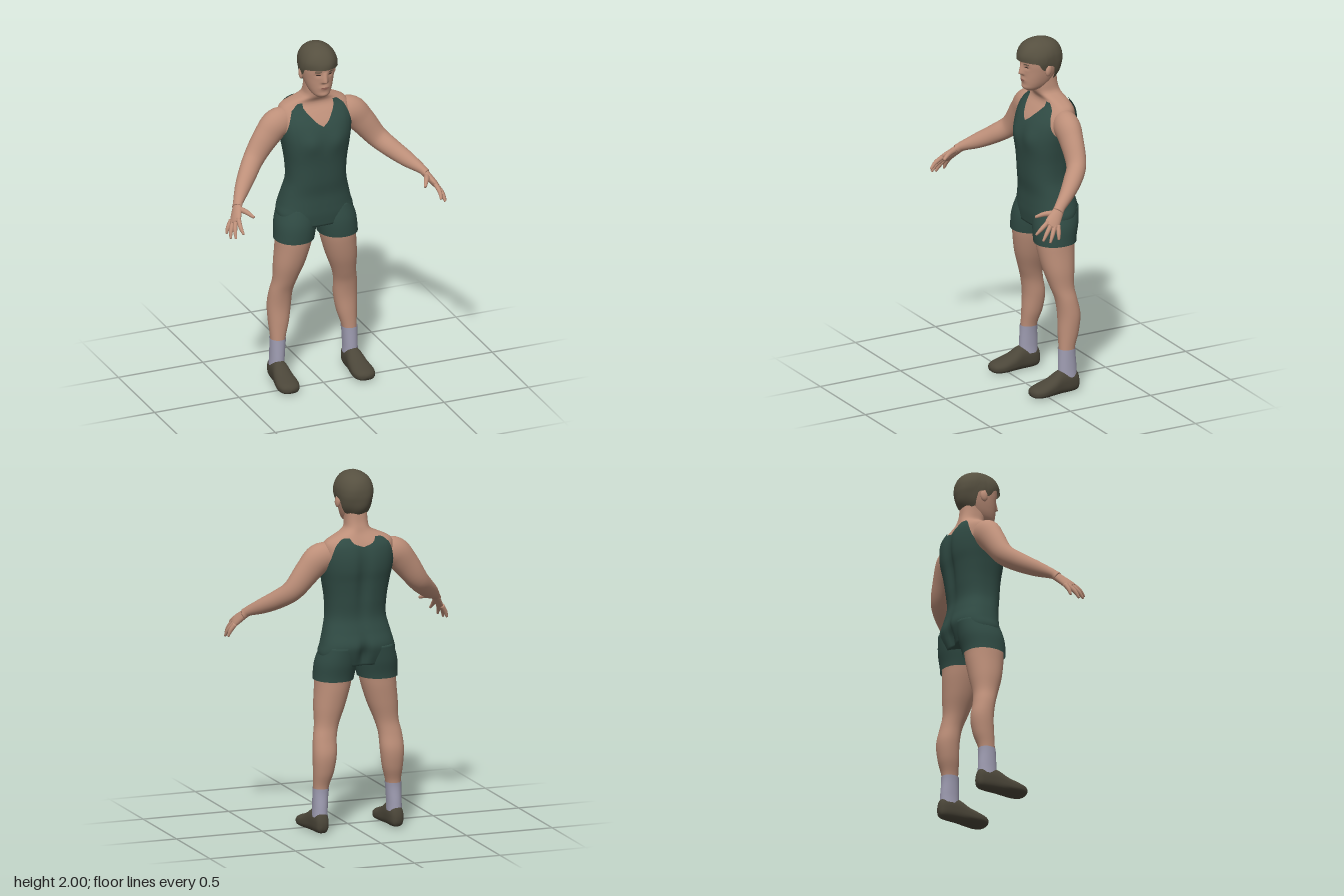
import * as THREE from 'three';

const paint = (name, color) => Object.assign(new THREE.MeshStandardMaterial({ color }), { name });
const V = (a) => new THREE.Vector3(...a);
const bump = (x, c, w) => Math.exp(-(((x - c) / w) ** 2));

// Smooth interpolation through rows [t, ...values]
function at(rows, t) {
  let i = 0;
  while (i < rows.length - 2 && t > rows[i + 1][0]) i++;
  const a = rows[i], b = rows[i + 1], h = b[0] - a[0];
  const s = Math.min(1, Math.max(0, (t - a[0]) / h));
  const p = rows[Math.max(0, i - 1)], n = rows[Math.min(rows.length - 1, i + 2)];
  return a.slice(1).map((v, k) => {
    k++;
    const m0 = ((b[k] - p[k]) / (b[0] - p[0])) * h, m1 = ((n[k] - a[k]) / (n[0] - a[0])) * h;
    return v * (1 + 2 * s) * (1 - s) ** 2 + m0 * s * (1 - s) ** 2 + b[k] * s * s * (3 - 2 * s) + m1 * s * s * (s - 1);
  });
}

// Straight-line interpolation through [x, y] pairs
function line(pts, x) {
  let i = 0;
  while (i < pts.length - 2 && x > pts[i + 1][0]) i++;
  const [a, b] = [pts[i], pts[i + 1]];
  return THREE.MathUtils.lerp(a[1], b[1], Math.min(1, Math.max(0, (x - a[0]) / (b[0] - a[0]))));
}

const pow = (c, p) => Math.sign(c) * Math.abs(c) ** p;
// Rounded cross-section from rows [t, a0, a1, b0, b1]
function section(rows, t, th, p, off = 0) {
  const [a0, a1, b0, b1] = at(rows, t);
  return [(a0 + a1) / 2 + ((a1 - a0) / 2 + off) * pow(Math.cos(th), p),
    (b0 + b1) / 2 + ((b1 - b0) / 2 + off) * pow(Math.sin(th), p)];
}

// Closed skin over fn(angle, v); side -1 mirrors it, flip reverses the faces
function skinMesh(name, mat, fn, nu, nv, { side = 1, flip = false, capStart = false, capEnd = false } = {}) {
  const pos = [], idx = [];
  for (let j = 0; j <= nv; j++) for (let i = 0; i < nu; i++) {
    const p = fn((i / nu) * Math.PI * 2, j / nv);
    pos.push(p[0] * side, p[1], p[2]);
  }
  const tri = (a, b, c) => ((side < 0) !== flip ? idx.push(a, c, b) : idx.push(a, b, c));
  for (let j = 0; j < nv; j++) for (let i = 0; i < nu; i++) {
    const a = j * nu + i, c = j * nu + ((i + 1) % nu);
    tri(a, a + nu, c);
    tri(c, a + nu, c + nu);
  }
  const cap = (j, end) => {
    const m = [0, 0, 0], n = pos.length / 3;
    for (let i = 0; i < nu * 3; i++) m[i % 3] += pos[j * nu * 3 + i] / nu;
    pos.push(...m);
    for (let i = 0; i < nu; i++) {
      const a = j * nu + i, c = j * nu + ((i + 1) % nu);
      end ? tri(a, n, c) : tri(a, c, n);
    }
  };
  if (capStart) cap(0, false);
  if (capEnd) cap(nv, true);
  const g = new THREE.BufferGeometry();
  g.setAttribute('position', new THREE.Float32BufferAttribute(pos, 3));
  g.setIndex(idx);
  g.computeVertexNormals();
  const mesh = new THREE.Mesh(g, mat);
  mesh.name = name;
  return mesh;
}

// Limb along points, radii [across, along ref] at each point
function limb(name, mat, pts, radii, side, ref, nu = 12, nv = 12) {
  const curve = new THREE.CatmullRomCurve3(pts.map(V));
  const rows = radii.map((r, i) => [i, ...r]);
  return skinMesh(name, mat, (th, v) => {
    const T = curve.getTangent(v);
    const B = V(ref).addScaledVector(T, -V(ref).dot(T)).normalize();
    const N = T.clone().cross(B);
    const [a, b] = at(rows, v * (radii.length - 1));
    return curve.getPoint(v).addScaledVector(N, a * Math.cos(th)).addScaledVector(B, b * Math.sin(th)).toArray();
  }, nu, nv, { side, capStart: true, capEnd: true });
}

// Symmetric rows [y, halfWidth, back z, front z]
const sym = (rows) => rows.map(([y, w, b, f]) => [y, -w, w, b, f]);
const TORSO = sym([[0.93, 0.19, -0.225, -0.015], [1.0, 0.208, -0.25, -0.008], [1.05, 0.196, -0.26, -0.008],
  [1.12, 0.178, -0.24, -0.008], [1.2, 0.16, -0.223, 0.003], [1.3, 0.163, -0.232, 0.01], [1.4, 0.179, -0.245, 0.017],
  [1.47, 0.192, -0.257, 0.012], [1.54, 0.2, -0.257, -0.01], [1.6, 0.2, -0.245, -0.05], [1.63, 0.185, -0.23, -0.075],
  [1.655, 0.14, -0.215, -0.08], [1.67, 0.1, -0.207, -0.07], [1.69, 0.07, -0.2, -0.058], [1.73, 0.062, -0.188, -0.05],
  [1.8, 0.06, -0.18, -0.05]]);
const HEAD = sym([[1.705, 0.028, -0.07, -0.005], [1.72, 0.047, -0.11, 0.012], [1.745, 0.062, -0.14, 0.016],
  [1.78, 0.074, -0.165, 0.018], [1.82, 0.083, -0.185, 0.02], [1.86, 0.088, -0.195, 0.025], [1.91, 0.088, -0.195, 0.022],
  [1.95, 0.065, -0.17, -0.01], [1.975, 0.03, -0.12, -0.05]]);
const HAIR = sym([[1.75, 0.066, -0.165, 0.02], [1.8, 0.088, -0.2, 0.03], [1.85, 0.1, -0.213, 0.038],
  [1.88, 0.104, -0.215, 0.043], [1.92, 0.1, -0.209, 0.039], [1.96, 0.08, -0.187, 0.015], [1.985, 0.05, -0.15, -0.02],
  [2.0, 0.012, -0.1, -0.07]]);
const LEG = [[0.08, 0.18, 0.255, -0.19, -0.09], [0.14, 0.18, 0.252, -0.188, -0.09], [0.25, 0.17, 0.252, -0.184, -0.094],
  [0.34, 0.145, 0.258, -0.21, -0.096], [0.44, 0.13, 0.262, -0.222, -0.098], [0.53, 0.125, 0.255, -0.205, -0.085],
  [0.6, 0.108, 0.242, -0.195, -0.062], [0.7, 0.07, 0.24, -0.205, -0.03], [0.8, 0.04, 0.232, -0.215, -0.01],
  [0.87, 0.025, 0.228, -0.22, -0.003], [0.95, 0.012, 0.22, -0.238, -0.005], [1.04, 0.01, 0.19, -0.25, -0.025]];
const SHOE = [[-0.205, 0.202, 0.236, 0.03, 0.075], [-0.195, 0.188, 0.25, 0.01, 0.11], [-0.165, 0.178, 0.258, 0.002, 0.128],
  [-0.09, 0.172, 0.266, 0, 0.13], [-0.03, 0.164, 0.278, 0, 0.095], [0.03, 0.16, 0.286, 0, 0.072],
  [0.07, 0.172, 0.276, 0.003, 0.06], [0.088, 0.188, 0.258, 0.01, 0.05], [0.095, 0.208, 0.236, 0.02, 0.04]];

// Torso with chest, spine and seat modelling
function torsoPoint(th, y, off) {
  let [x, z] = section(TORSO, y, th, 0.82, off);
  const s = Math.sin(th);
  if (s > 0) z += 0.012 * s * bump(Math.abs(x), 0.08, 0.055) * bump(y, 1.44, 0.06);
  else z -= s * (0.02 * bump(x, 0, 0.035) * bump(y, 1.42, 0.2) + 0.03 * bump(x, 0, 0.025) * bump(y, 1.0, 0.07));
  return [x, y, z];
}

// Head with nose, eye hollows, lips and chin
function headPoint(th, y, off = 0) {
  let [x, z] = section(HEAD, y, th, 0.88, off);
  if (Math.sin(th) > 0) {
    const nose = line([[1.795, 0], [1.807, 1], [1.82, 0.85], [1.865, 0]], y);
    z += 0.026 * nose * bump(x, 0, 0.015) - 0.007 * bump(Math.abs(x), 0.035, 0.018) * bump(y, 1.848, 0.013)
      + 0.006 * bump(x, 0, 0.025) * bump(y, 1.77, 0.012) + 0.004 * bump(x, 0, 0.025) * bump(y, 1.725, 0.012);
  }
  return [x, y, z];
}

export function createModel() {
  const skin = paint('skin', 0xbd8f79), green = paint('darkGreenCloth', 0x304b44), hairMat = paint('hair', 0x565040);
  const shoeMat = paint('shoe', 0x4b4639), sockMat = paint('sock', 0x9f9db2);
  const lipMat = paint('lips', 0x9c675a), eyeMat = paint('eyes', 0x3a2c26);
  for (const m of [green, hairMat, sockMat]) m.side = THREE.DoubleSide;
  const model = new THREE.Group();
  model.name = 'athlete';
  const add = (...m) => model.add(...m);
  const mix = THREE.MathUtils.lerp;

  // Torso, neck and the singlet cut to a neckline and armholes
  add(skinMesh('torsoAndNeck', skin, (th, v) => torsoPoint(th, mix(0.96, 1.79, v), 0), 64, 70, { capStart: true }));
  const front = [[0, 1.53], [0.15, 1.55], [0.35, 1.6], [0.55, 1.652], [0.72, 1.65], [0.77, 1.6], [0.87, 1.54], [1, 1.47]];
  const back = [[0, 1.6], [0.25, 1.618], [0.45, 1.65], [0.7, 1.65], [0.79, 1.59], [0.88, 1.53], [1, 1.47]];
  add(skinMesh('singlet', green, (th, v) => {
    const top = line(Math.sin(th) >= 0 ? front : back, Math.abs(Math.cos(th)) ** 0.82);
    return torsoPoint(th, mix(0.935, top, v), 0.009);
  }, 96, 60, { capStart: true }));

  // Head and hair
  add(skinMesh('head', skin, (th, v) => headPoint(th, mix(1.705, 1.975, v)), 96, 64, { capStart: true, capEnd: true }));
  const hairline = [[-1, 1.76], [-0.45, 1.775], [-0.28, 1.85], [0, 1.862], [0.1, 1.83], [0.25, 1.84], [0.4, 1.876], [1, 1.884]];
  add(skinMesh('hair', hairMat, (th, v) => {
    const y = mix(line(hairline, Math.sin(th)), 2.0, v ** 0.8);
    const ripple = 0.002 * Math.sin(5 * th + 30 * y) * (1 - v);
    const [x, z] = section(HAIR, y, th, 0.92, ripple);
    return [x, y, z];
  }, 64, 28, { capEnd: true }));

  // Facial details laid onto the head surface
  const decal = (name, mat, cx, cy, w, h, tilt = 0) => {
    const g = new THREE.CircleGeometry(1, 20), p = g.attributes.position;
    for (let i = 0; i < p.count; i++) {
      const x = cx + p.getX(i) * w, y = cy + p.getY(i) * h + p.getX(i) * tilt;
      const u = Math.min(1, Math.abs(x) / at(HEAD, y)[1]) ** (1 / 0.88);
      const th = Math.acos(Math.sign(x) * u);
      p.setXYZ(i, x, y, headPoint(th, y)[2] + 0.002);
    }
    g.computeVertexNormals();
    const mesh = new THREE.Mesh(g, mat);
    mesh.name = name;
    add(mesh);
  };
  decal('mouth', lipMat, 0, 1.768, 0.024, 0.006);

  for (const side of [1, -1]) {
    const pre = side > 0 ? 'left' : 'right';
    decal(pre + 'Eye', eyeMat, side * 0.036, 1.848, 0.013, 0.0035);
    decal(pre + 'Eyebrow', hairMat, side * 0.038, 1.866, 0.018, 0.003, side * -0.001);
    const ear = new THREE.Mesh(new THREE.SphereGeometry(1, 16, 12), skin);
    ear.name = pre + 'Ear';
    ear.scale.set(0.013, 0.032, 0.02);
    ear.position.set(side * 0.094, 1.83, -0.092);
    ear.rotation.set(-0.15, side * 0.3, 0);
    add(ear);

    // Leg, shorts leg, sock and shoe
    const leg = (name, mat, y0, y1, off, nv, opts) => add(skinMesh(pre + name, mat, (th, v) => {
      const y = mix(y0, y1, v), [x, z] = section(LEG, y, th, 0.94, off);
      return [x, y, z];
    }, 40, nv, { side, ...opts }));
    leg('Leg', skin, 0.1, 1.0, 0, 50, {});
    leg('ShortsLeg', green, 0.85, 1.04, 0.01, 16, { capEnd: true });
    leg('Sock', sockMat, 0.09, 0.25, 0.004, 12, {});
    add(skinMesh(pre + 'Shoe', shoeMat, (th, v) => {
      const z = mix(-0.205, 0.095, v);
      const [x, y] = section(SHOE, z, th, Math.sin(th) < 0 ? 0.7 : 0.95);
      return [x, y, z];
    }, 32, 40, { side, flip: true, capStart: true, capEnd: true }));

    // Arm
    add(limb(pre + 'Arm', skin,
      [[0.14, 1.54, -0.14], [0.215, 1.535, -0.137], [0.28, 1.47, -0.132], [0.365, 1.36, -0.112],
        [0.425, 1.305, -0.055], [0.49, 1.255, 0.02], [0.545, 1.215, 0.092], [0.56, 1.198, 0.112]],
      [[0.075, 0.06], [0.083, 0.07], [0.075, 0.062], [0.06, 0.053], [0.053, 0.05], [0.043, 0.04], [0.026, 0.03], [0.024, 0.032]],
      side, [0, 0.1, 1], 28, 40));

    // Hand with four fingers and a thumb
    const spread = [0.29, -0.43, -0.86];
    add(limb(pre + 'Palm', skin, [[0.545, 1.215, 0.092], [0.57, 1.18, 0.13], [0.59, 1.152, 0.162], [0.602, 1.138, 0.18]],
      [[0.022, 0.028], [0.02, 0.036], [0.018, 0.042], [0.011, 0.036]], side, spread, 20, 16));
    const fingers = [
      ['IndexFinger', [0.583, 1.162, 0.185], [0.59, 1.13, 0.232], [0.585, 1.1, 0.263]],
      ['MiddleFinger', [0.594, 1.15, 0.172], [0.614, 1.108, 0.212], [0.62, 1.07, 0.238]],
      ['RingFinger', [0.601, 1.14, 0.155], [0.626, 1.098, 0.183], [0.637, 1.06, 0.203]],
      ['LittleFinger', [0.604, 1.138, 0.135], [0.628, 1.1, 0.145], [0.639, 1.068, 0.15]],
      ['Thumb', [0.558, 1.195, 0.13], [0.533, 1.19, 0.18], [0.507, 1.172, 0.224]]];
    for (const [name, a, b, c] of fingers) {
      const r = name === 'Thumb' ? 0.014 : 0.0115;
      add(limb(pre + name, skin, [a, b, c], [[r * 1.15, r * 1.15], [r, r], [r * 0.55, r * 0.55]], side, spread, 10, 10));
    }
  }
  return model;
}
